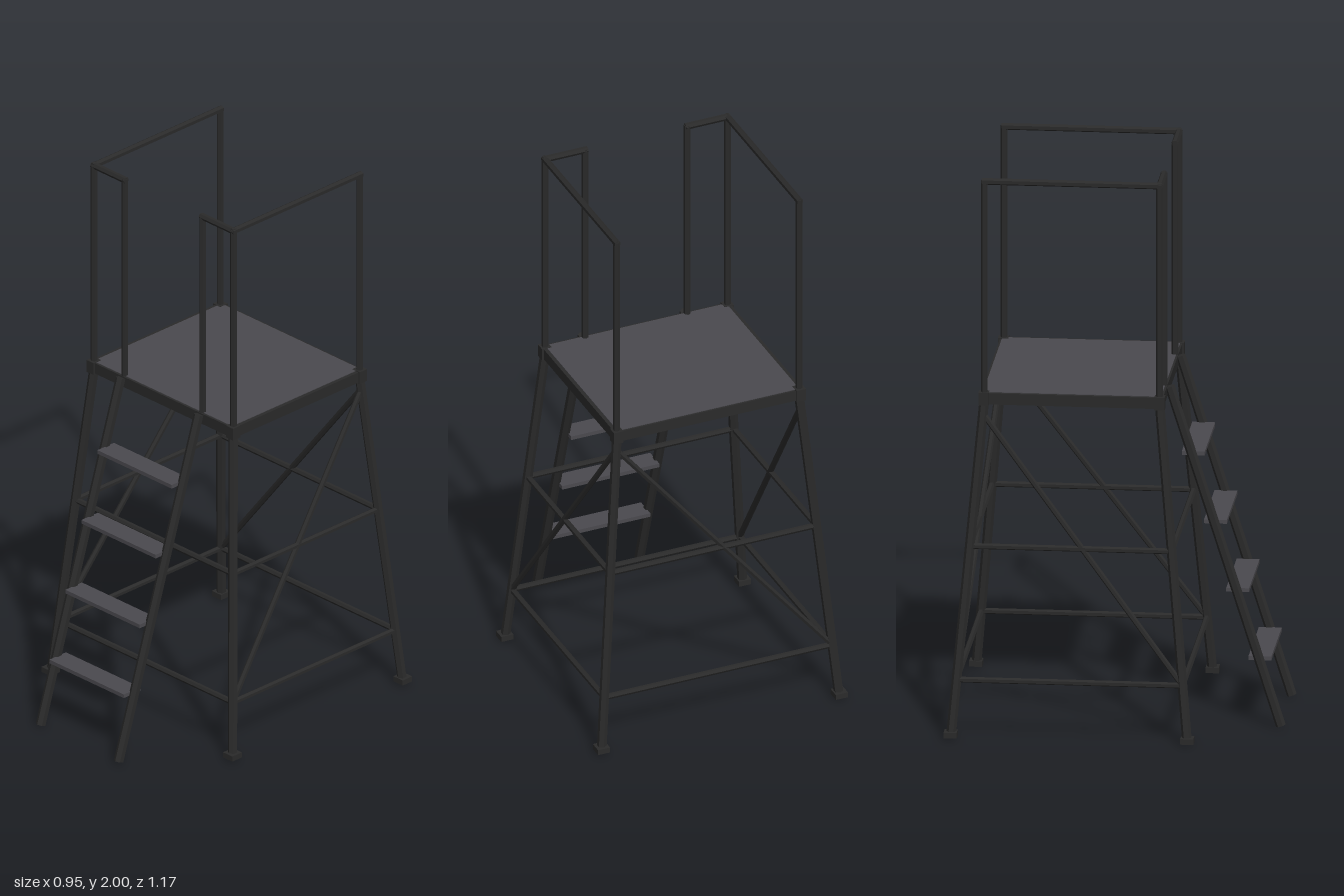
import * as THREE from 'three';

export function createModel() {
  const model = new THREE.Group();
  model.name = 'accessPlatform';
  const steel = new THREE.MeshStandardMaterial({ color: 0x2a2a2a });
  steel.name = 'blackSteel';
  const tread = new THREE.MeshStandardMaterial({ color: 0x4a494e });
  tread.name = 'greyTread';

  // six-sided bar between two points, with flat faces
  const up = new THREE.Vector3(0, 1, 0);
  function bar(name, a, b, r) {
    const p = new THREE.Vector3(...a), q = new THREE.Vector3(...b);
    const d = q.clone().sub(p);
    const geo = new THREE.CylinderGeometry(r, r, d.length(), 6).toNonIndexed();
    geo.computeVertexNormals();
    const m = new THREE.Mesh(geo, steel);
    m.position.copy(p).add(q).multiplyScalar(0.5);
    m.quaternion.setFromUnitVectors(up, d.normalize());
    m.name = name;
    model.add(m);
  }
  function box(name, mat, w, h, d, x, y, z) {
    const m = new THREE.Mesh(new THREE.BoxGeometry(w, h, d), mat);
    m.position.set(x, y, z);
    m.name = name;
    model.add(m);
  }

  const midZ = -0.15, topY = 1.2;
  // centre of a leg at height y; sx and sz pick the corner
  const leg = (sx, sz, y) => {
    const t = y / topY;
    return [sx * (0.452 - 0.106 * t), y, midZ + sz * (0.413 - 0.107 * t)];
  };

  // splayed legs, feet and frame corners
  for (const sx of [-1, 1]) for (const sz of [-1, 1]) {
    bar('leg', leg(sx, sz, 0.015), leg(sx, sz, topY), 0.017);
    const [fx, , fz] = leg(sx, sz, 0);
    box('foot', steel, 0.046, 0.02, 0.046, fx, 0.018, fz);
    box('frameCorner', steel, 0.036, 0.046, 0.036, sx * 0.347, 1.205, midZ + sz * 0.307);
  }

  // horizontal braces at two heights
  for (const y of [0.21, 0.682]) for (const s of [-1, 1]) {
    bar('crossBrace', leg(-1, s, y), leg(1, s, y), 0.0105);
    bar('sideBrace', leg(s, -1, y), leg(s, 1, y), 0.0105);
  }

  // diagonal braces on the back and both sides
  bar('backDiagonal', leg(-1, -1, 0.21), leg(1, -1, 1.15), 0.0105);
  for (const s of [-1, 1]) bar('sideDiagonal', leg(s, 1, 0.21), leg(s, -1, 1.15), 0.0105);

  // platform frame and deck
  for (const s of [-1, 1]) {
    box('frameBeam', steel, 0.69, 0.04, 0.022, 0, 1.205, midZ + s * 0.307);
    box('frameSide', steel, 0.022, 0.04, 0.61, s * 0.347, 1.205, midZ);
  }
  box('deck', tread, 0.69, 0.02, 0.622, 0, 1.217, midZ);

  // guard rails: two long side rails with a short return at the front
  const railY = 1.988, frontZ = 0.156, backZ = -0.456;
  for (const s of [-1, 1]) {
    const outer = s * 0.347, inner = s * 0.194;
    for (const [x, z] of [[outer, backZ], [outer, frontZ], [inner, frontZ]]) {
      bar('railPost', [x, 1.2, z], [x, railY + 0.005, z], 0.012);
    }
    bar('sideRail', [outer, railY, backZ - 0.008], [outer, railY, frontZ + 0.008], 0.012);
    bar('frontRail', [outer + s * 0.008, railY, frontZ], [inner - s * 0.008, railY, frontZ], 0.012);
    // ladder stringer
    bar('stringer', [s * 0.194, 0.006, 0.564], [s * 0.194, 1.222, 0.176], 0.0175);
  }

  // ladder steps
  for (let i = 0; i < 4; i++) {
    box('step', tread, 0.37, 0.014, 0.08, 0, 0.244 + i * 0.245, 0.49 - i * 0.0775);
  }
  return model;
}
